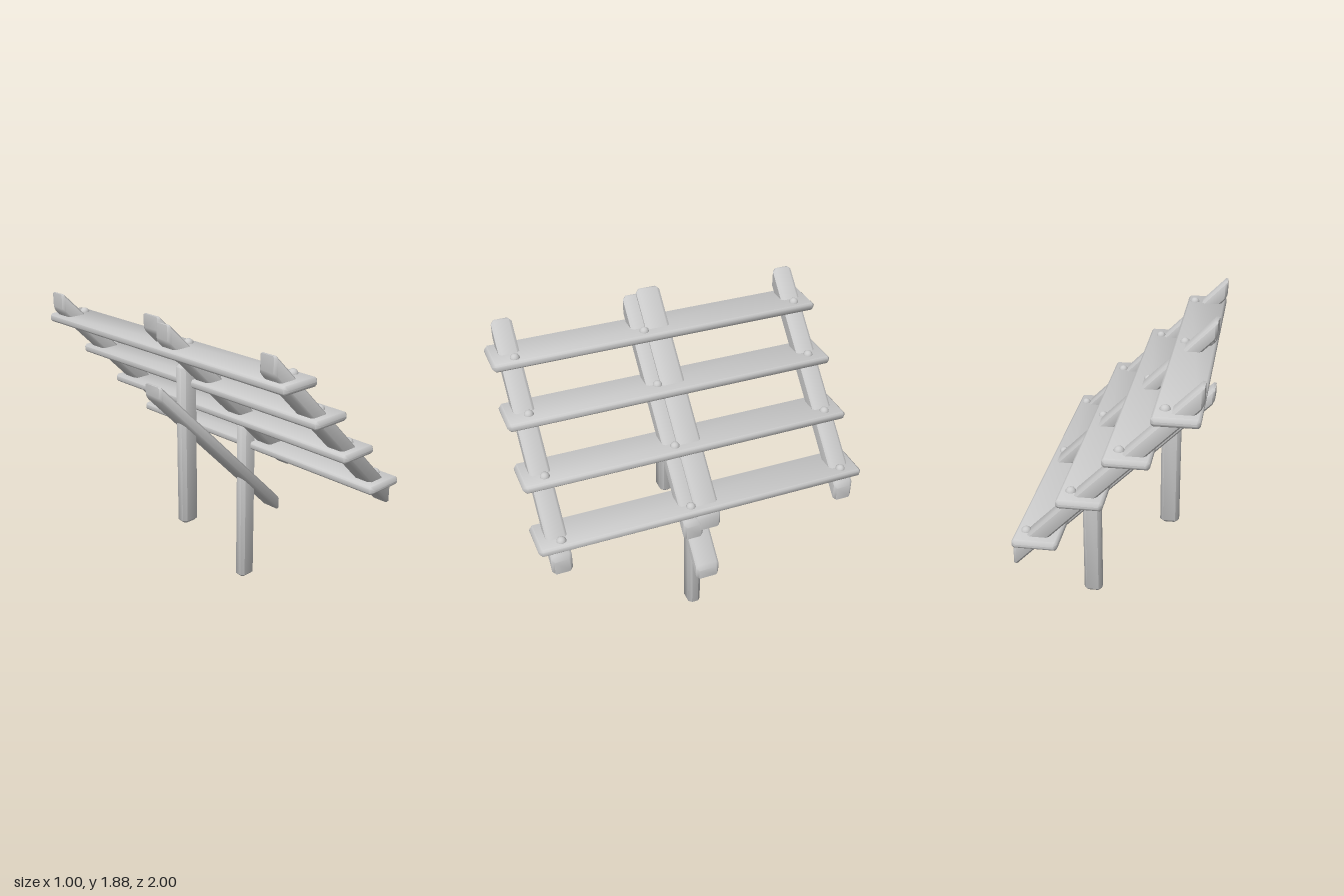
import * as THREE from 'three';
import { toCreasedNormals } from 'three/addons/utils/BufferGeometryUtils.js';

const material = new THREE.MeshStandardMaterial({ color: 0xcccccc });

// Timber of width w (x), height h (y) and length (z), centred, with all edges chamfered
function timber(w, h, length, c, endBevel) {
  const x = w / 2, y = h / 2;
  const shape = new THREE.Shape([
    [-x + c, -y], [x - c, -y], [x, -y + c], [x, y - c],
    [x - c, y], [-x + c, y], [-x, y - c], [-x, -y + c],
  ].map(([a, b]) => new THREE.Vector2(a, b)));
  const geometry = new THREE.ExtrudeGeometry(shape, {
    depth: length - 2 * endBevel, steps: 1, bevelEnabled: true, bevelSegments: 1,
    bevelThickness: endBevel, bevelSize: endBevel, bevelOffset: -endBevel,
  });
  return geometry.translate(0, 0, endBevel - length / 2);
}

export function createModel() {
  const model = new THREE.Group();
  const add = (name, geometry, x, y, z) => {
    const mesh = new THREE.Mesh(geometry, material);
    mesh.name = name;
    mesh.position.set(x, y, z);
    model.add(mesh);
    return mesh;
  };

  // Sloping beams: sheared down at 45 degrees so that their ends stay vertical
  const shear = new THREE.Matrix4().set(1, 0, 0, 0, -1, 1, 0, 0, 0, 0, 1, 0, 0, 0, 0, 1);
  const beam = (name, width, height, y, z) => {
    const geometry = timber(width, height, 0.995, 0.015, 0.015)
      .rotateY(Math.PI / 2).applyMatrix4(shear);
    add(name, toCreasedNormals(geometry, 0.9), -0.002, y, z);
  };
  beam('sideStringerLeft', 0.12, 0.12, 1.305, -0.88);
  beam('sideStringerRight', 0.12, 0.12, 1.305, 0.88);
  beam('innerStringer', 0.12, 0.12, 1.305, 0.095);
  beam('centreStringer', 0.145, 0.105, 1.342, 0);
  beam('lowerRail', 0.145, 0.095, 0.947, 0);

  // Treads
  const tread = toCreasedNormals(timber(0.245, 0.05, 2, 0.012, 0.02), 0.9);
  const treads = [[-0.367, 1.68], [-0.123, 1.437], [0.12, 1.183], [0.365, 0.923]];
  treads.forEach(([x, y], i) => add('tread' + (i + 1), tread, x, y, 0));

  // Posts
  const post = (name, x, bottom, top) => {
    const geometry = timber(0.115, 0.08, top - bottom, 0.02, 0.02).rotateX(Math.PI / 2);
    add(name, toCreasedNormals(geometry, 0.9), x, (bottom + top) / 2, 0);
  };
  post('upperPost', -0.247, 0.56, 1.56);
  post('lowerPost', 0.243, 0, 1.08);

  // Domed pegs fixing each tread to the stringers
  const peg = new THREE.SphereGeometry(0.029, 12, 8);
  const rows = [
    [-0.88, [-0.305, -0.075, 0.18, 0.43]],
    [0.09, [-0.305, -0.095, 0.18, 0.43]],
    [0.862, [-0.292, -0.075, 0.178, 0.438]],
  ];
  for (const [z, xs] of rows) {
    xs.forEach((x, i) => add('peg', peg, x, treads[i][1] + 0.021, z));
  }
  return model;
}
